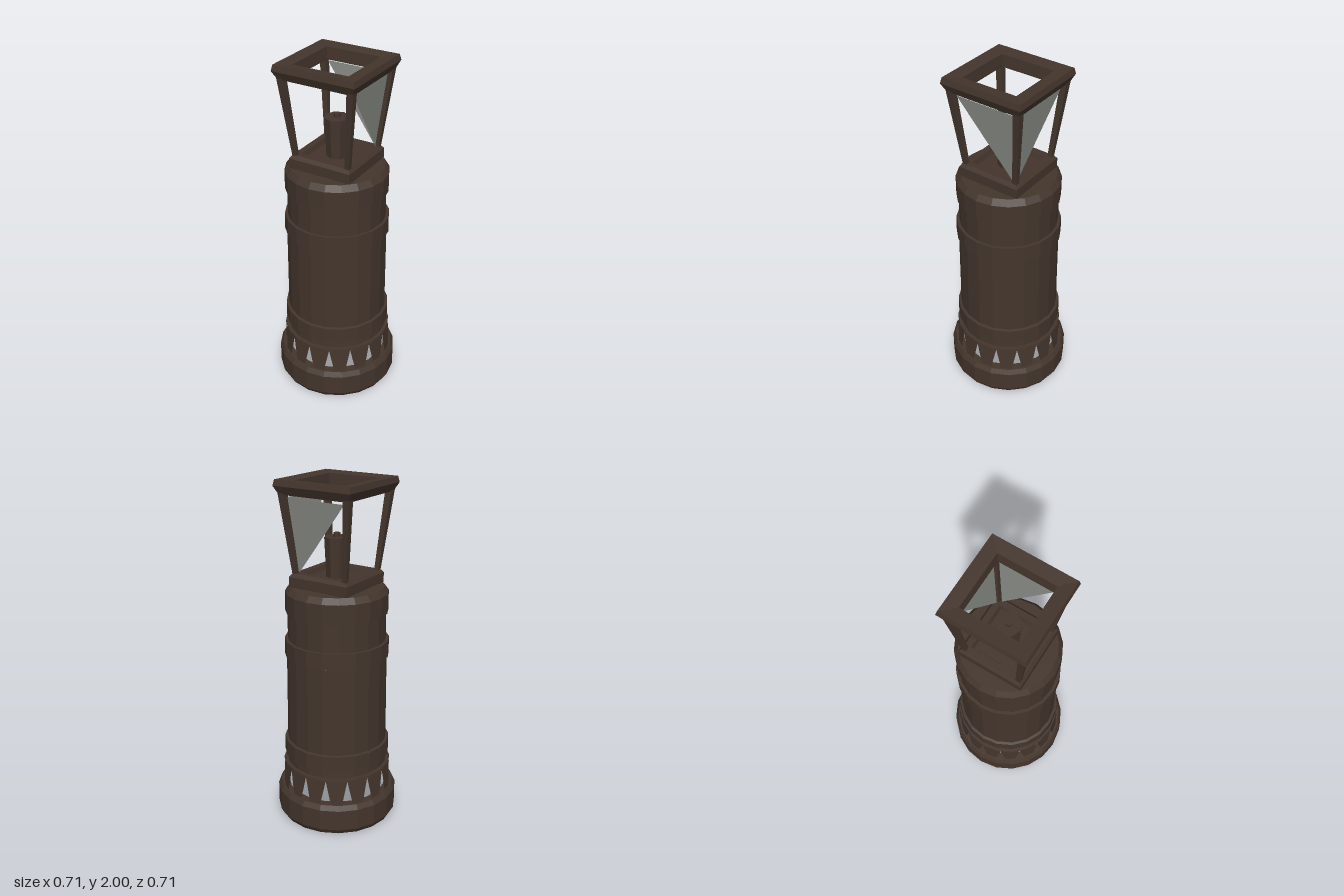
import * as THREE from 'three';

const metal = new THREE.MeshStandardMaterial({ color: 0x43352c });
metal.name = 'darkBrownMetal';
const glass = new THREE.MeshStandardMaterial({ color: 0x858882, side: THREE.DoubleSide });
glass.name = 'greyGlass';

// Faceted mesh with hard edges
function part(name, geometry, material = metal) {
  const g = geometry.index ? geometry.toNonIndexed() : geometry;
  g.computeVertexNormals();
  const mesh = new THREE.Mesh(g, material);
  mesh.name = name;
  return mesh;
}

// Turned ring from [radius, y] points, listed upwards on the outside
function turned(name, points, sides = 20) {
  return part(name, new THREE.LatheGeometry(points.map(p => new THREE.Vector2(...p)), sides));
}

// Square ring from [half width, y] points
function square(name, points) {
  const pts = points.map(([w, y]) => new THREE.Vector2(w * Math.SQRT2, y));
  return part(name, new THREE.LatheGeometry(pts, 4, Math.PI / 4));
}

function triangles(corners) {
  return new THREE.BufferGeometry().setFromPoints(corners);
}

// Skirt of broad teeth that narrow towards the foot
function toothedSkirt(count, y0, y1, r0, r1) {
  const at = (i, r, y) => {
    const a = (i / count) * Math.PI * 2;
    return new THREE.Vector3(Math.sin(a) * r, y, Math.cos(a) * r);
  };
  const corners = [];
  for (let i = 0; i < count; i++) {
    const a = at(i + 0.25, r0, y0), b = at(i + 0.75, r0, y0);
    const c = at(i + 1, r1, y1), d = at(i, r1, y1);
    corners.push(a, b, c, a, c, d);
  }
  return triangles(corners);
}

// Corner post leaning outwards, wider at the top
function post(sx, sz) {
  const g = new THREE.BoxGeometry(1, 1, 1);
  const p = g.attributes.position;
  for (let i = 0; i < p.count; i++) {
    const t = p.getY(i) + 0.5;
    const centre = 0.162 + 0.046 * t, width = 0.026 + 0.012 * t;
    p.setXYZ(i, sx * centre + p.getX(i) * width, 1.47 + 0.46 * t, sz * centre + p.getZ(i) * width);
  }
  return part('cornerPost', g);
}

export function createModel() {
  const model = new THREE.Group();
  model.name = 'lamp';

  // Round body, from the foot upwards
  const body = new THREE.Group();
  body.name = 'body';
  body.add(
    turned('foot', [[0, 0], [0.338, 0], [0.355, 0.03], [0.355, 0.155], [0.338, 0.183], [0.29, 0.183]]),
    part('toothedSkirt', toothedSkirt(16, 0.18, 0.33, 0.325, 0.318)),
    turned('skirtRim', [[0.29, 0.325], [0.318, 0.325], [0.316, 0.338], [0.29, 0.338]]),
    turned('lowerNeck', [[0.295, 0.33], [0.292, 0.395]]),
    turned('lowerBand', [[0.285, 0.388], [0.31, 0.388], [0.308, 0.48], [0.285, 0.485]]),
    turned('column', [[0.292, 0.48], [0.288, 1.0]]),
    turned('upperBand', [[0.28, 1.005], [0.3, 1.005], [0.298, 1.1], [0.278, 1.1]]),
    turned('upperNeck', [[0.281, 1.095], [0.279, 1.27]]),
    turned('cap', [[0.27, 1.262], [0.292, 1.262], [0.292, 1.375], [0.268, 1.408], [0, 1.412]])
  );

  // Square lantern on top
  const lantern = new THREE.Group();
  lantern.name = 'lantern';
  lantern.add(
    square('lanternBase', [[0.182, 1.4], [0.19, 1.41], [0.19, 1.465], [0.175, 1.485],
      [0.14, 1.485], [0.13, 1.455], [0, 1.455]]),
    square('topFrame', [[0.16, 1.93], [0.16, 1.92], [0.222, 1.918], [0.245, 1.965],
      [0.238, 1.998], [0.165, 1.99], [0.16, 1.93]])
  );
  for (const sx of [-1, 1]) for (const sz of [-1, 1]) lantern.add(post(sx, sz));

  // Burner with a small wick
  const burner = part('burner', new THREE.CylinderGeometry(0.071, 0.06, 0.23, 8));
  burner.position.y = 1.565;
  const wick = part('wick', new THREE.CylinderGeometry(0.02, 0.02, 0.025, 6));
  wick.position.y = 1.69;
  lantern.add(burner, wick);

  // Two broken panes that meet at the back corner on the left side
  const v = (x, y, z) => new THREE.Vector3(x, y, z);
  lantern.add(
    part('backPane', triangles([v(0.18, 1.9, -0.2), v(-0.18, 1.9, -0.2), v(0.14, 1.49, -0.16)]), glass),
    part('sidePane', triangles([v(0.2, 1.9, 0.18), v(0.2, 1.9, -0.18), v(0.16, 1.49, -0.14)]), glass)
  );

  model.add(body, lantern);
  return model;
}
